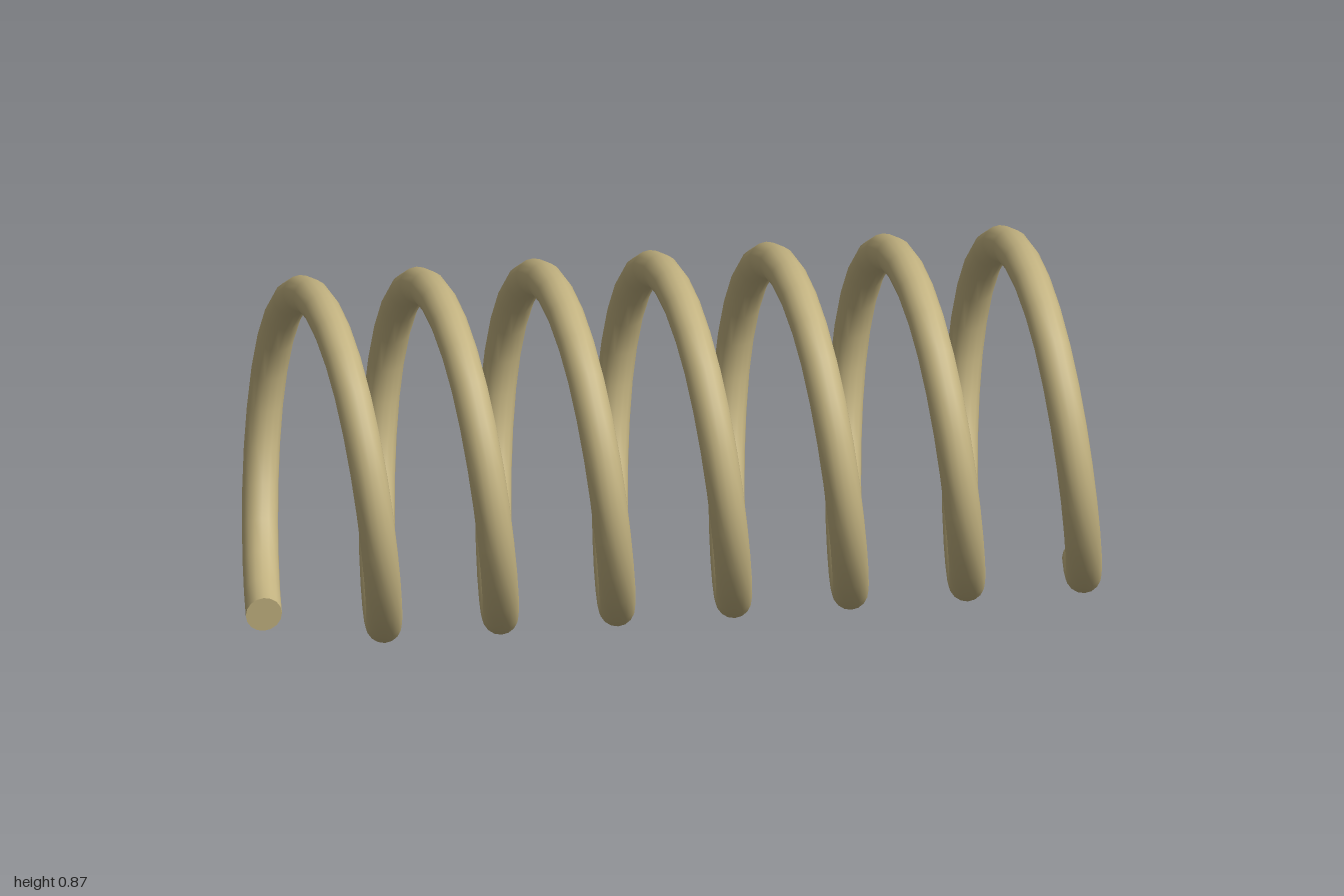
import * as THREE from 'three';

const TURNS = 7, STEPS = 26, SIDES = 16;
const COIL_R = 0.39, WIRE_R = 0.0425, HALF = 0.9575, CENTRE_Y = 0.4325;

// Wire swept around the x axis, with round sections lying in radial planes
function coilGeometry() {
  const positions = [], index = [];
  const rings = TURNS * STEPS;
  for (let i = 0; i <= rings; i++) {
    const a = (i / STEPS) * Math.PI * 2;
    const x = -HALF + (2 * HALF * i) / rings;
    for (let j = 0; j < SIDES; j++) {
      const phi = (j / SIDES) * Math.PI * 2;
      const r = COIL_R + WIRE_R * Math.cos(phi);
      positions.push(x + WIRE_R * Math.sin(phi), CENTRE_Y - r * Math.cos(a), -r * Math.sin(a));
      if (i < rings) {
        const k = (j + 1) % SIDES;
        const p = i * SIDES + j, q = p + SIDES;
        const s = i * SIDES + k, t = s + SIDES;
        index.push(p, q, t, p, t, s);
      }
    }
  }
  const g = new THREE.BufferGeometry();
  g.setAttribute('position', new THREE.Float32BufferAttribute(positions, 3));
  g.setIndex(index);
  g.computeVertexNormals();
  return g;
}

export function createModel() {
  const group = new THREE.Group();
  group.name = 'coilSpring';
  const brass = new THREE.MeshStandardMaterial({ color: 0xc2b280 });
  brass.name = 'paleBrass';

  const coil = new THREE.Mesh(coilGeometry(), brass);
  coil.name = 'coil';
  group.add(coil);

  // Flat cut ends: the first faces the front, the last faces the back
  for (const side of [-1, 1]) {
    const cap = new THREE.Mesh(new THREE.CircleGeometry(WIRE_R, SIDES), brass);
    cap.name = side < 0 ? 'rightWireEnd' : 'leftWireEnd';
    cap.position.set(side * HALF, CENTRE_Y - COIL_R, 0);
    if (side > 0) cap.rotation.y = Math.PI;
    group.add(cap);
  }
  return group;
}
